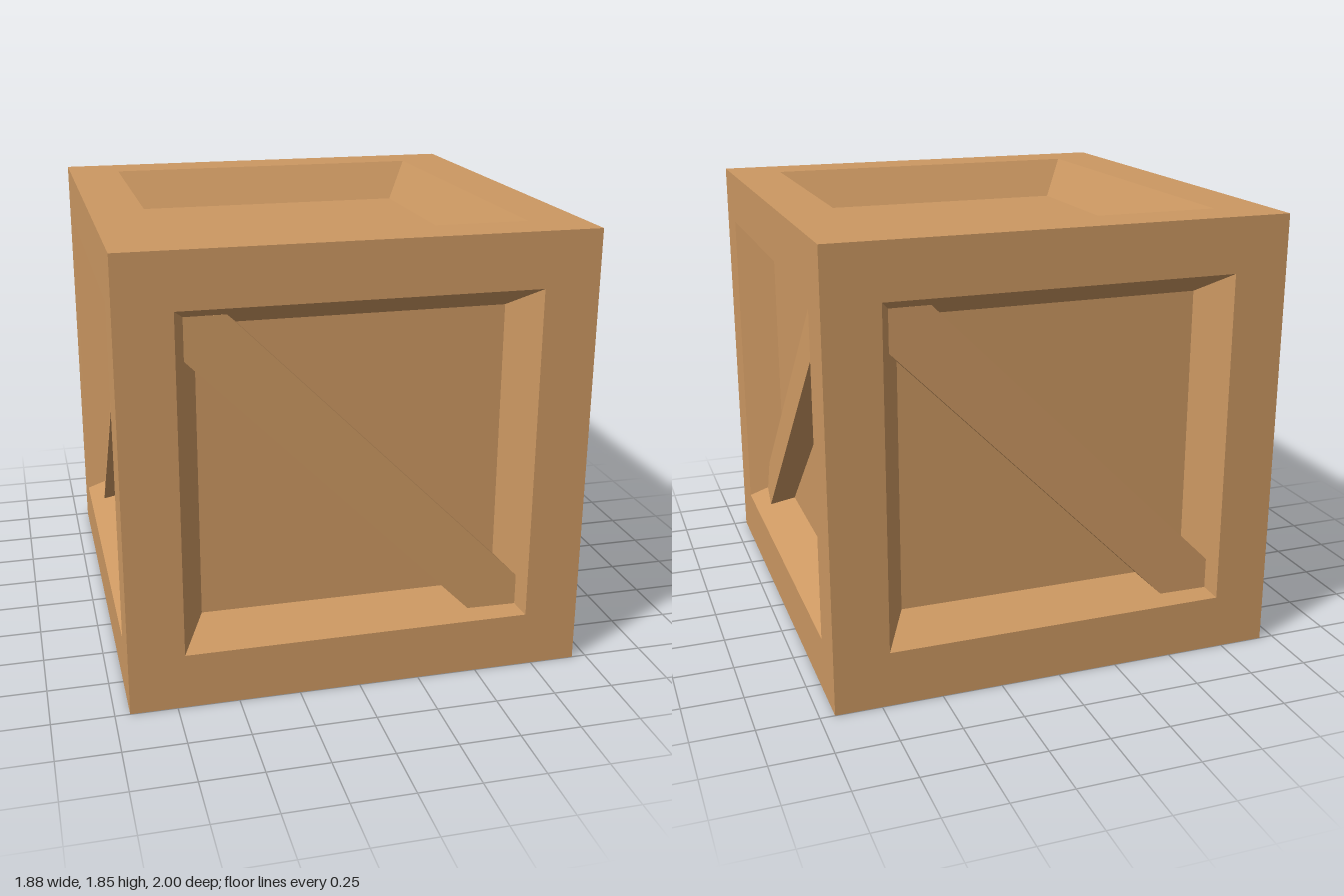
import * as THREE from 'three';

const W = 0.94, H = 1.85, D = 1.0, DEPTH = 0.16;

// Corners of a rectangle, counter-clockwise seen from +z
const rect = (hx, y0, y1, z) => [[-hx, y0, z], [hx, y0, z], [hx, y1, z], [-hx, y1, z]];

function geometryFrom(points) {
  const g = new THREE.BufferGeometry();
  g.setAttribute('position', new THREE.Float32BufferAttribute(points.flat(), 3));
  g.computeVertexNormals();
  return g;
}

// Faces between two matching loops
function band(a, b) {
  const out = [];
  a.forEach((p, i) => {
    const j = (i + 1) % a.length;
    out.push(p, a[j], b[j], p, b[j], b[i]);
  });
  return out;
}

// Fan across a convex loop
function cap(loop) {
  const out = [];
  for (let i = 1; i < loop.length - 1; i++) out.push(loop[0], loop[i], loop[i + 1]);
  return out;
}

export function createModel() {
  const wood = new THREE.MeshStandardMaterial({ color: 0xcc9862 });
  wood.name = 'wood';
  const crate = new THREE.Group();
  crate.name = 'crate';

  const add = (parent, name, points) => {
    const m = new THREE.Mesh(geometryFrom(points), wood);
    m.name = name;
    parent.add(m);
  };

  // One crate side: flat frame, sloped recess walls and sunken board
  function side(name, outer, opening, board) {
    const g = new THREE.Group();
    g.name = name;
    add(g, 'frame', band(outer, opening));
    add(g, 'recessWalls', band(opening, board));
    add(g, 'board', cap(board));
    crate.add(g);
    return g;
  }

  // Diagonal plank, slightly twisted, running from its face back to the board
  function brace(parent, outline, inset, shift) {
    const front = outline.map(([x, y]) => [x, y, -inset(x, y)]);
    const back = outline.map(([x, y]) => [x + shift[0], y + shift[1], -DEPTH - 0.01]);
    add(parent, 'diagonalBrace', [...cap(front), ...band(back, front)]);
  }

  const frontBrace = [[-0.68, 1.585], [-0.68, 1.42], [0.49, 0.25],
    [0.69, 0.255], [0.69, 0.385], [-0.51, 1.585]];
  const sideBrace = [[0.57, 1.59], [-0.75, 0.41], [-0.75, 0.275],
    [-0.56, 0.265], [0.775, 1.46], [0.775, 1.6]];

  // Front and back, then right and left, each pair turned by half a circle
  for (const k of [0, 1]) {
    const f = side(k ? 'backSide' : 'frontSide', rect(W, 0, H, 0),
      rect(0.715, 0.23, 1.625, 0), rect(0.62, 0.325, 1.53, -DEPTH));
    brace(f, frontBrace, (x) => 0.06 - 0.012 * x, [-0.003, -0.003]);
    f.rotation.y = k * Math.PI;
    f.position.z = k ? -D : D;

    const s = side(k ? 'rightSide' : 'leftSide', rect(D, 0, H, 0),
      rect(0.8, 0.23, 1.625, 0), rect(0.71, 0.325, 1.53, -DEPTH));
    brace(s, sideBrace, (x, y) => -0.027 - 0.108 * x + 0.099 * y, [0.014, -0.016]);
    s.rotation.y = Math.PI / 2 + k * Math.PI;
    s.position.x = k ? -W : W;
  }

  // Top with its recess
  const top = side('top', rect(W, -D, D, 0), rect(0.715, -0.8, 0.8, 0),
    rect(0.62, -0.71, 0.71, -0.17));
  top.rotation.x = -Math.PI / 2;
  top.position.y = H;

  // Plain base
  const base = new THREE.Mesh(new THREE.PlaneGeometry(2 * W, 2 * D), wood);
  base.name = 'base';
  base.rotation.x = Math.PI / 2;
  crate.add(base);

  return crate;
}
